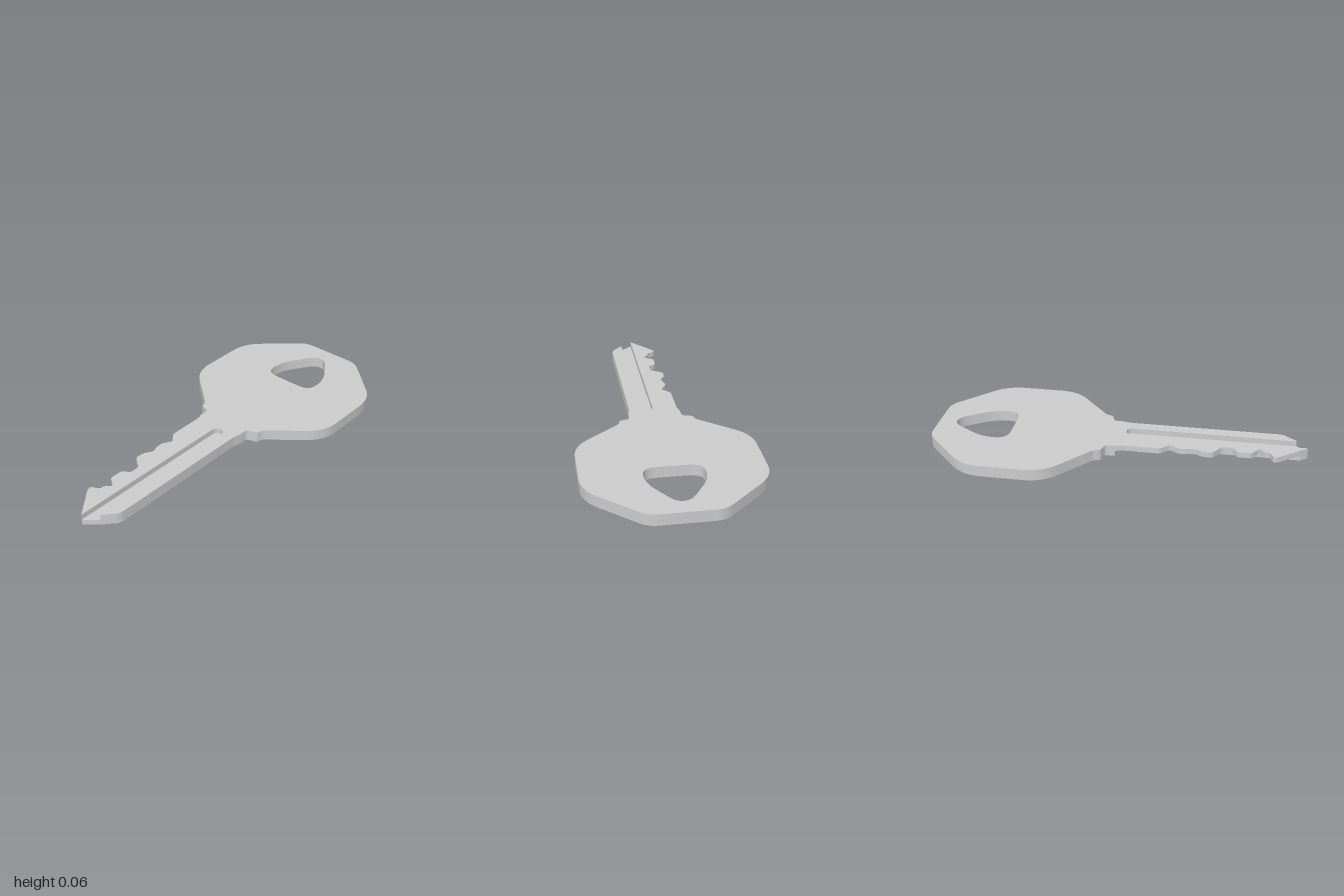
import * as THREE from 'three';
import { toCreasedNormals } from 'three/addons/utils/BufferGeometryUtils.js';

const THICK = 0.06, MID = 0.03;

// Closed path through [x, z, cornerRadius] points, each corner softened by a curve.
function roundedPath(points, path) {
  const v = points.map(([x, z]) => new THREE.Vector2(x, -z));
  const n = v.length;
  const towards = (a, b, r) => {
    const d = b.clone().sub(a);
    return a.clone().addScaledVector(d, Math.min(r / d.length(), 0.48));
  };
  v.forEach((p, i) => {
    const r = points[i][2] || 0;
    const a = towards(p, v[(i + n - 1) % n], r);
    const b = towards(p, v[(i + 1) % n], r);
    if (i === 0) path.moveTo(a.x, a.y);
    else path.lineTo(a.x, a.y);
    if (r > 0) path.quadraticCurveTo(p.x, p.y, b.x, b.y);
  });
  path.closePath();
  return path;
}

const mirror = (pts) => pts.map(([x, z, r]) => [-x, z, r]);

// Half of the bow, from its flat end to the shoulder
const bowHalf = [
  [0.18, -1, 0.05], [0.46, -0.74, 0.1], [0.46, -0.32, 0.1],
  [0.205, -0.105, 0.015], [0.195, -0.068, 0.01], [0.14, -0.053, 0.02],
];
const neck = [[-0.14, 0], [-0.13, 0.04, 0.02]];
// Cuts along the bitted edge, from neck to tip
const teeth = [
  [-0.13, 0.235, 0.02], [-0.085, 0.283, 0.012], [-0.115, 0.33, 0.02],
  [-0.115, 0.37, 0.02], [-0.1, 0.412, 0.015], [-0.128, 0.46, 0.02],
  [-0.128, 0.51, 0.015], [-0.062, 0.555, 0.015], [-0.062, 0.615, 0.015],
  [-0.102, 0.635, 0.015], [-0.102, 0.712, 0.015], [-0.045, 0.75, 0.012],
  [-0.078, 0.775, 0.015], [-0.082, 0.807, 0.012], [-0.125, 0.825, 0.012],
  [-0.12, 0.85, 0.01],
];
const tip = [0, 1];
// Plain edge, from tip back to the neck
const plainEdge = [[0.065, 0.945, 0.01], [0.13, 0.87, 0.025], [0.13, 0.04, 0.02], [0.14, 0]];
const grooveEnd = [[0, 0.035, 0.035], [0.065, 0.035, 0.035]];

const holeHalf = [[0.035, -0.905, 0.05], [0.153, -0.725, 0.08], [0.153, -0.582, 0.08]];
const hole = [...holeHalf, ...mirror(holeHalf).reverse()];

// One half-thickness of the key, open at the plane where the halves meet
function layer(outline, bottom) {
  const shape = roundedPath(outline, new THREE.Shape());
  shape.holes.push(roundedPath(hole, new THREE.Path()));
  const solid = new THREE.ExtrudeGeometry(shape, { depth: MID, bevelEnabled: false, curveSegments: 8 });
  solid.rotateX(-Math.PI / 2).translate(0, bottom, 0);
  const p = solid.attributes.position, kept = [];
  for (let i = 0; i < p.count; i += 3) {
    const inner = [0, 1, 2].every((k) => Math.abs(p.getY(i + k) - MID) < 1e-5);
    if (!inner) kept.push(...p.array.slice(i * 3, i * 3 + 9));
  }
  const g = new THREE.BufferGeometry();
  g.setAttribute('position', new THREE.Float32BufferAttribute(kept, 3));
  return toCreasedNormals(g, 0.5);
}

// Flat face at mid thickness
function midFace(outline, faceDown) {
  const g = new THREE.ShapeGeometry(roundedPath(outline, new THREE.Shape()), 8);
  g.rotateX(-Math.PI / 2);
  if (faceDown) {
    g.index.array.reverse();
    g.attributes.normal.array.forEach((c, i, a) => { a[i] = -c; });
  }
  return g.translate(0, MID, 0);
}

export function createModel() {
  const key = new THREE.Group();
  key.name = 'key';
  const material = new THREE.MeshStandardMaterial({ color: 0xcccccc });
  const add = (name, geometry) => {
    const mesh = new THREE.Mesh(geometry, material);
    mesh.name = name;
    key.add(mesh);
  };
  const bowLeft = mirror(bowHalf);
  const bowRight = [...bowHalf].reverse();

  // Upper half: toothed blade with a lengthwise groove open at the tip
  add('upperHalf', layer(
    [...bowLeft, ...neck, ...teeth, tip, ...grooveEnd, ...plainEdge, ...bowRight], THICK - MID));
  // Lower half: blade milled away beneath the teeth
  add('lowerHalf', layer(
    [...bowLeft, neck[0], [-0.03, 0], [-0.03, 0.9625], tip, ...plainEdge, ...bowRight], 0));

  add('grooveFloor', midFace([tip, ...grooveEnd, [0.065, 0.945]], false));
  add('toothUnderside', midFace([...neck, ...teeth, [-0.03, 0.9625], [-0.03, 0]], true));
  return key;
}
